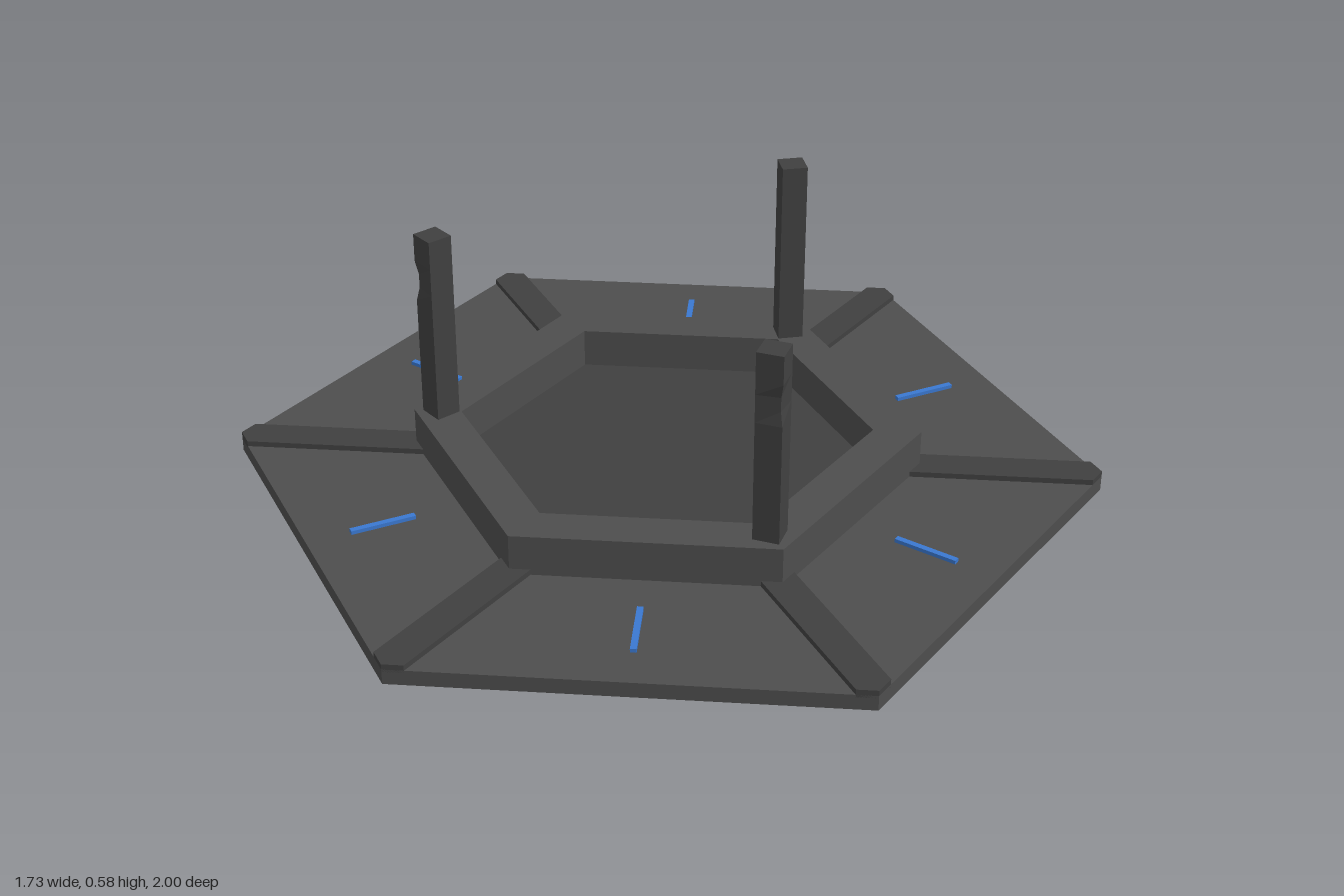
import * as THREE from 'three';

const mat = (color) => new THREE.MeshStandardMaterial({ color, flatShading: true, roughness: 0.9 });

// Hexagon corners in plan, with one corner pointing to the front
const hexPoints = (r) => Array.from({ length: 6 }, (_, i) => {
  const a = Math.PI / 2 + i * Math.PI / 3;
  return new THREE.Vector2(r * Math.cos(a), r * Math.sin(a));
});

// Extrudes a plan shape upward from y0 to y1
function slab(points, y0, y1, holePoints) {
  const shape = new THREE.Shape(points);
  if (holePoints) shape.holes.push(new THREE.Path(holePoints));
  const geo = new THREE.ExtrudeGeometry(shape, { depth: y1 - y0, bevelEnabled: false });
  return geo.rotateX(-Math.PI / 2).translate(0, y0, 0);
}

// Square post set cornerwise, optionally with a chip in its outer edge
function postGeometry(chipped) {
  const bottom = 0.12, top = 0.585, size = 0.06;
  const geo = new THREE.BoxGeometry(size, top - bottom, size, 1, 14, 1);
  geo.rotateY(Math.PI / 4).translate(0, (top + bottom) / 2, 0);
  const p = geo.attributes.position;
  for (let i = 0; i < p.count; i++) {
    const y = p.getY(i);
    if (chipped && p.getZ(i) > 0.03 && y > 0.44 && y < 0.5) p.setZ(i, p.getZ(i) - 0.008);
  }
  geo.computeVertexNormals();
  return geo;
}

export function createModel() {
  const model = new THREE.Group();
  const stone = mat(0x4d4d4d);
  const darkStone = mat(0x404040);
  const blue = mat(0x3a78d0);

  const add = (name, geo, material, angle = 0) => {
    const mesh = new THREE.Mesh(geo, material);
    mesh.name = name;
    mesh.rotation.y = angle;
    model.add(mesh);
  };

  // Hexagonal base, raised rim and sunken floor
  add('base', slab(hexPoints(1), 0, 0.036), stone);
  add('rim', slab(hexPoints(0.585), 0.03, 0.132, hexPoints(0.475)), stone);
  add('floor', slab(hexPoints(0.5), 0.03, 0.038), darkStone);

  // Ribs to each corner, cut to the hexagon's point
  const w = 0.04, cut = w / Math.sqrt(3);
  const ribPlan = [[-w, -0.55], [-w, cut - 1], [0, -1], [w, cut - 1], [w, -0.55]]
    .map(([x, y]) => new THREE.Vector2(x, y));
  const ribGeo = slab(ribPlan, 0.03, 0.049);

  // Plain inlay stroke on each panel
  const inlayGeo = new THREE.BoxGeometry(0.014, 0.012, 0.15).translate(0, 0.039, 0.69);

  for (let i = 0; i < 6; i++) {
    const a = i * Math.PI / 3;
    add('rib', ribGeo, darkStone, a);
    add('panelInlay', inlayGeo, blue, a + Math.PI / 6);
  }

  // Three posts standing on alternate rim corners
  for (let i = 0; i < 3; i++) {
    const geo = postGeometry(i !== 1).translate(0, 0, 0.522);
    add('post', geo, darkStone, i * 2 * Math.PI / 3);
  }
  return model;
}
